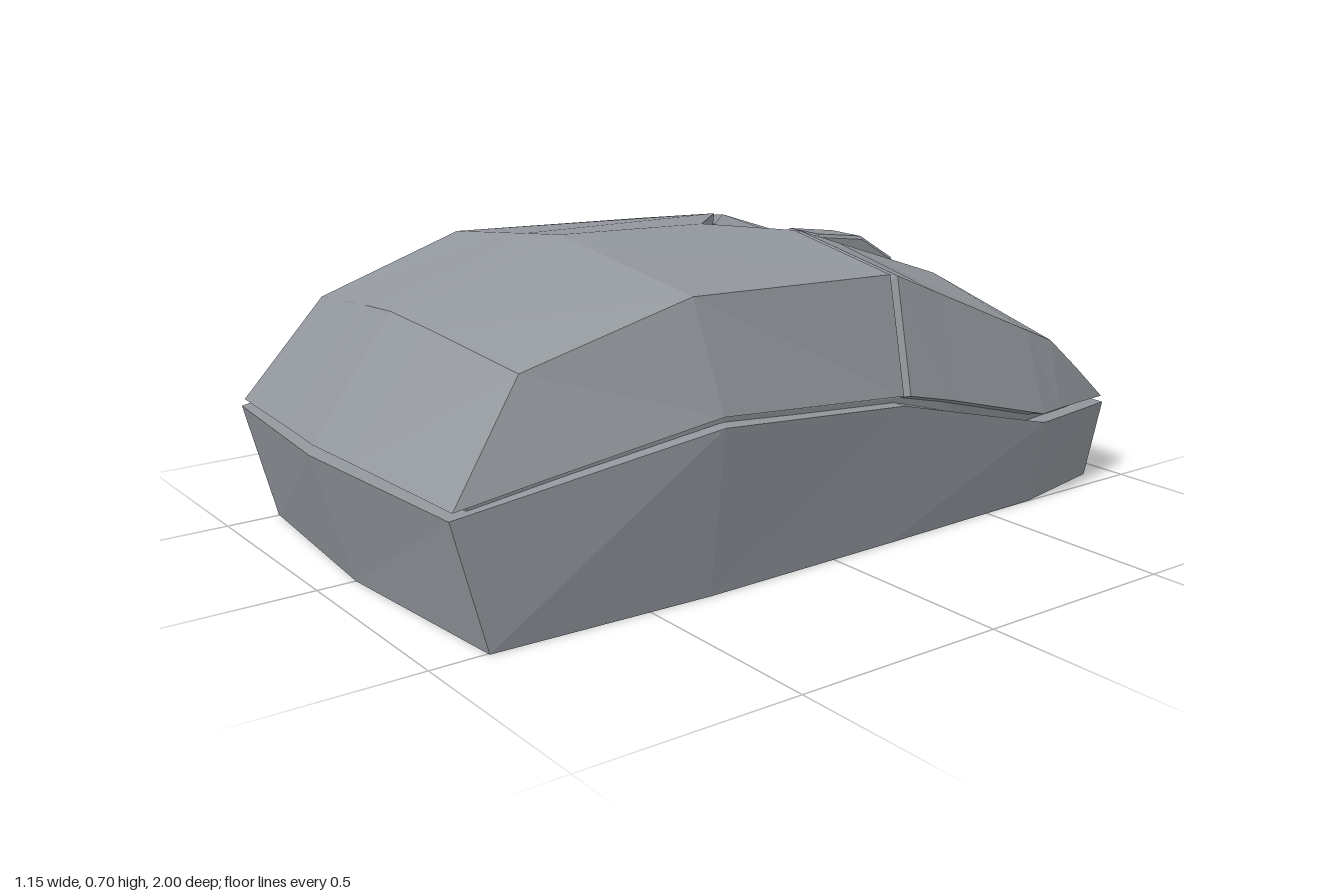
import * as THREE from 'three';

const material = new THREE.MeshStandardMaterial({ color: 0x92979d, flatShading: true });
const V = (p) => new THREE.Vector3(...p);

// Collects quads (counter-clockwise from outside) into a faceted mesh
function meshFromQuads(name, quads) {
  const points = [];
  const tri = (a, b, c) => {
    const area = V(b).sub(V(a)).cross(V(c).sub(V(a))).length();
    if (area > 1e-7) points.push(V(a), V(b), V(c));
  };
  quads.forEach(([a, b, c, d]) => { tri(a, b, c); tri(a, c, d); });
  const geometry = new THREE.BufferGeometry().setFromPoints(points);
  geometry.computeVertexNormals();
  const mesh = new THREE.Mesh(geometry, material);
  mesh.name = name;
  return mesh;
}

// Moves a point towards the middle of the body
const shrink = ([x, y, z], k) => [x * k, 0.2 + (y - 0.2) * k, z * k];
const flip = ([x, y, z]) => [-x, y, z];
const mirrorRow = (row) => row.map(flip).reverse();

// Panel from rows (front to back) of points (-x to +x), with walls around its edge
function panel(name, rows, drop = (p) => shrink(p, 0.94)) {
  const quads = [];
  const m = rows.length - 1, n = rows[0].length - 1;
  for (let i = 0; i < m; i++)
    for (let j = 0; j < n; j++)
      quads.push([rows[i][j], rows[i][j + 1], rows[i + 1][j + 1], rows[i + 1][j]]);
  const edge = [
    ...rows[0].slice(0, n),
    ...rows.slice(0, m).map((r) => r[n]),
    ...rows[m].slice(1).reverse(),
    ...rows.slice(1).map((r) => r[0]).reverse(),
  ];
  edge.forEach((p, i) => {
    const q = edge[(i + 1) % edge.length];
    quads.push([p, drop(p), drop(q), q]);
  });
  return meshFromQuads(name, quads);
}

export function createModel() {
  const model = new THREE.Group();
  model.name = 'computerMouse';

  // Base: half outlines from front centre to back centre, mirrored to rings
  const ring = (half) => [...half, ...half.slice(1, -1).reverse().map(flip)];
  const rim = ring([[0, 0.3, 1], [0.5, 0.285, 0.945], [0.575, 0.38, 0.35], [0.555, 0.335, -0.17],
    [0.54, 0.21, -0.65], [0.465, 0.195, -0.95], [0, 0.19, -1]]);
  const foot = ring([[0, 0, 0.91], [0.505, 0, 0.87], [0.525, 0, 0.35], [0.515, 0, -0.17],
    [0.5, 0, -0.65], [0.44, 0, -0.925], [0, 0, -0.975]]);
  const lip = rim.map(([x, y, z]) => [x * 0.88, y + 0.005, z * 0.9]);
  const middle = foot.map(() => [0, 0, 0]);
  const rings = [middle, foot, rim, lip];
  const baseQuads = [];
  for (let k = 0; k < 3; k++)
    foot.forEach((_, i) => {
      const j = (i + 1) % foot.length;
      baseQuads.push([rings[k][i], rings[k][j], rings[k + 1][j], rings[k + 1][i]]);
    });
  model.add(meshFromQuads('base', baseQuads));

  // Palm rest: rows of centre, middle, shoulder and rim points
  const palm = [
    [[0, 0.32, 0.99], [0.15, 0.314, 0.973], [0.5, 0.3, 0.937], [0.5, 0.3, 0.937]],
    [[0, 0.58, 0.8], [0.15, 0.565, 0.785], [0.447, 0.53, 0.755], [0.522, 0.333, 0.755]],
    [[0, 0.7, 0.38], [0.15, 0.682, 0.377], [0.49, 0.64, 0.37], [0.57, 0.402, 0.35]],
    [[0, 0.685, -0.02], [0.155, 0.675, -0.175], [0.485, 0.62, -0.178], [0.551, 0.357, -0.168]],
  ];
  const whole = (row) => [...mirrorRow(row.slice(1)), ...row];
  model.add(panel('palmRest', palm.map(whole)));

  // Buttons: one half, sunk along the wheel, mirrored to the other side
  const button = [
    [[0.009, 0.668, -0.053], [0.15, 0.671, -0.198], [0.485, 0.615, -0.2], [0.55, 0.353, -0.19]],
    [[0.009, 0.607, -0.33], [0.14, 0.626, -0.33], [0.482, 0.56, -0.33], [0.547, 0.319, -0.33]],
    [[0.009, 0.495, -0.64], [0.125, 0.51, -0.67], [0.478, 0.428, -0.64], [0.535, 0.23, -0.65]],
    [[0.009, 0.488, -0.72], [0.12, 0.472, -0.725], [0.475, 0.39, -0.73], [0.515, 0.226, -0.73]],
    [[0.009, 0.395, -0.86], [0.12, 0.375, -0.855], [0.468, 0.302, -0.84], [0.488, 0.219, -0.84]],
    [[0.009, 0.21, -0.99], [0.12, 0.21, -0.98], [0.46, 0.21, -0.95], [0.46, 0.21, -0.95]],
  ];
  model.add(panel('leftButton', button));
  model.add(panel('rightButton', button.map(mirrorRow)));

  // Inner core closing the seams, reaching down into the base
  const core = [...palm.slice(0, 3), ...button].map((row) => whole(row).map((p) => shrink(p, 0.955)));
  model.add(panel('innerCore', core, ([x, , z]) => [x * 0.95, 0.12, z * 0.95]));

  // Scroll wheel: z, top height and half width of each section
  const wheel = [[-0.3, 0.6, 0.015], [-0.338, 0.635, 0.06], [-0.48, 0.615, 0.06],
    [-0.585, 0.55, 0.06], [-0.625, 0.51, 0.03]]
    .map(([z, y, w]) => [[-w, y - 0.008, z], [-w * 0.9, y, z], [w * 0.9, y, z], [w, y - 0.008, z]]);
  model.add(panel('scrollWheel', wheel, ([x, , z]) => [x, 0.42, z]));

  return model;
}
